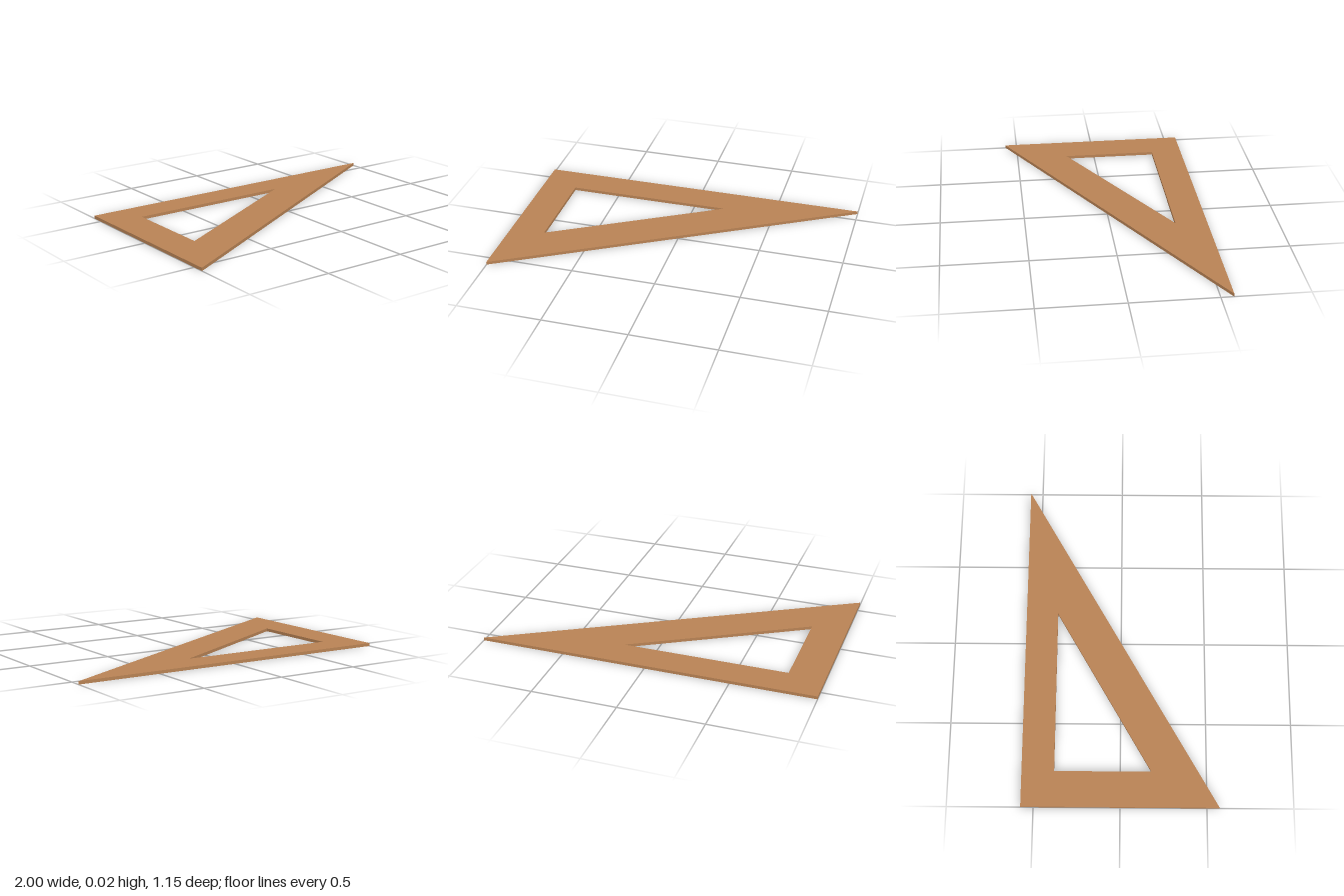
import * as THREE from 'three';

// Corner points given as [x, z] on the ground plane
const toPoints = (corners) => corners.map(([x, z]) => new THREE.Vector2(x, -z));

export function createModel() {
  const group = new THREE.Group();
  group.name = 'setSquare';

  const wood = new THREE.MeshStandardMaterial({ color: 0xb88254 });
  wood.name = 'warm wood';

  // Right-angled outline with a similar triangular cut-out
  const outline = new THREE.Shape(toPoints([[-1, 0.573], [1, -0.573], [-1, -0.573]]));
  outline.holes.push(new THREE.Path(toPoints([[-0.79, 0.181], [-0.79, -0.384], [0.19, -0.384]])));

  // Thin flat plate lying on the ground
  const geometry = new THREE.ExtrudeGeometry(outline, { depth: 0.018, bevelEnabled: false });
  geometry.rotateX(-Math.PI / 2);

  const plate = new THREE.Mesh(geometry, wood);
  plate.name = 'triangularPlate';
  group.add(plate);
  return group;
}
